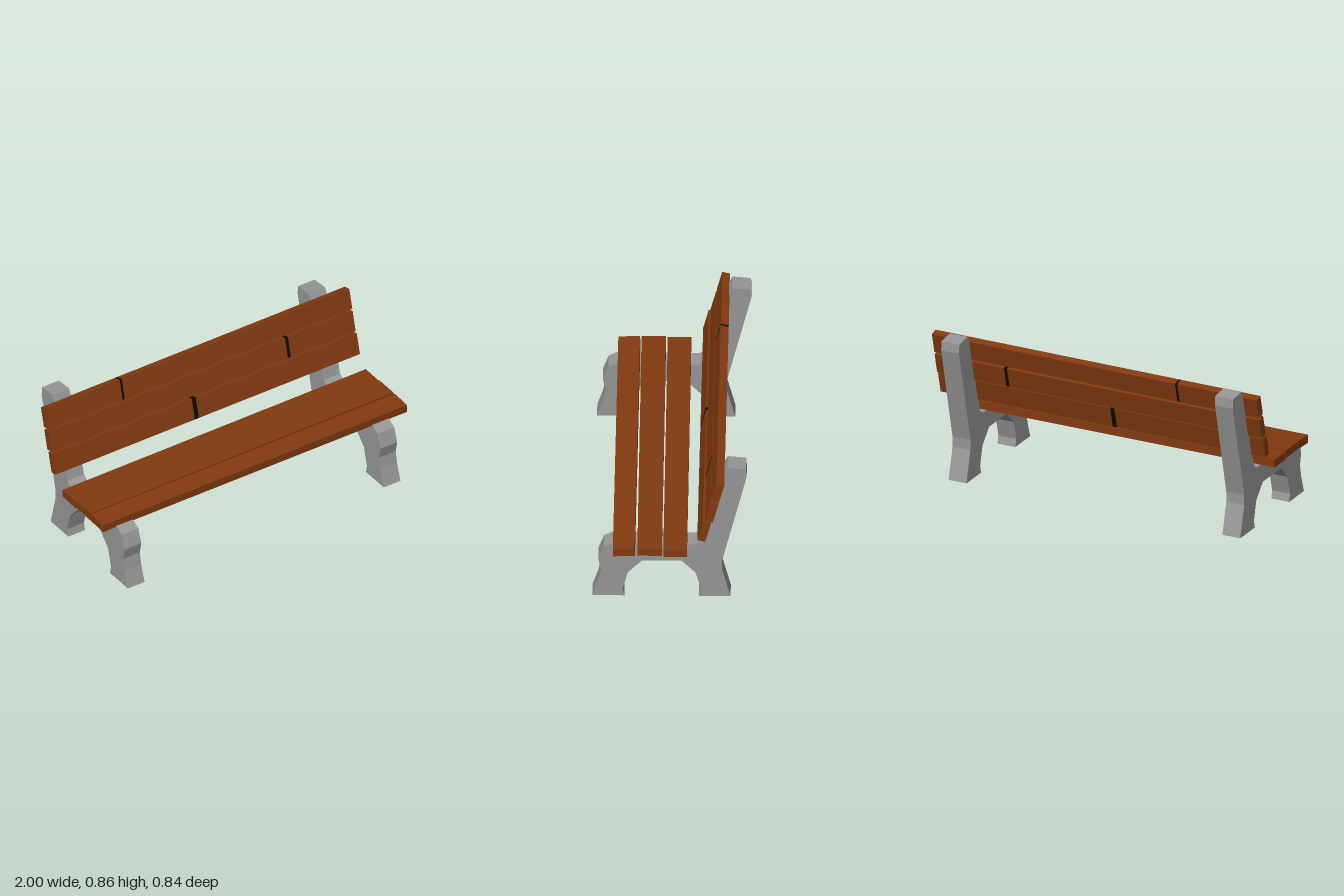
import * as THREE from 'three';

export function createModel() {
  const bench = new THREE.Group();
  bench.name = 'bench';
  const wood = new THREE.MeshStandardMaterial({ name: 'brown wood', color: 0x823a10 });
  const concrete = new THREE.MeshStandardMaterial({ name: 'grey concrete', color: 0x969696 });
  const dark = new THREE.MeshStandardMaterial({ name: 'dark seam', color: 0x0c0a08 });

  // Side frames: one outline (z, y) covering both legs, seat rail and back post
  const outline = [
    [0.422, 0], [0.39, 0.095], [0.375, 0.172], [0.39, 0.242], [0.36, 0.325], [0.308, 0.352],
    [0.19, 0.35], [-0.135, 0.346], [-0.17, 0.37], [-0.3, 0.83], [-0.317, 0.863], [-0.418, 0.853],
    [-0.421, 0.8], [-0.287, 0.24], [-0.287, 0.18], [-0.333, 0], [-0.16, 0], [-0.171, 0.045],
    [-0.143, 0.155], [-0.065, 0.236], [0.15, 0.236], [0.228, 0.155], [0.257, 0.045], [0.247, 0],
  ].map(([z, y]) => new THREE.Vector2(z, y));
  const thickness = 0.11;
  const frameGeometry = new THREE.ExtrudeGeometry(new THREE.Shape(outline), { depth: thickness, bevelEnabled: false });
  frameGeometry.translate(0, 0, -thickness / 2);
  frameGeometry.rotateY(-Math.PI / 2);
  [['rightFrame', -0.86], ['leftFrame', 0.825]].forEach(([name, x]) => {
    const frame = new THREE.Mesh(frameGeometry, concrete);
    frame.name = name;
    frame.position.x = x;
    bench.add(frame);
  });

  // A length of slat from x0 to x1, skewed a little along its length
  function piece(name, material, x0, x1, s) {
    const g = new THREE.BoxGeometry(x1 - x0, s.h, s.d);
    g.rotateX(s.tilt);
    g.translate((x0 + x1) / 2, s.y, s.z);
    const p = g.attributes.position;
    for (let i = 0; i < p.count; i++) {
      const x = p.getX(i);
      p.setY(i, p.getY(i) + s.dy * x);
      p.setZ(i, p.getZ(i) + s.dz * x);
    }
    const mesh = new THREE.Mesh(g, material);
    mesh.name = name;
    return mesh;
  }

  // Seat slats, front to back
  [
    { z: 0.248, y: 0.372, h: 0.047, d: 0.119, tilt: 0.045, dy: 0.001, dz: 0 },
    { z: 0.111, y: 0.375, h: 0.046, d: 0.134, tilt: 0, dy: 0.001, dz: -0.0035 },
    { z: -0.029, y: 0.369, h: 0.046, d: 0.129, tilt: 0.008, dy: 0.001, dz: -0.003 },
  ].forEach((s, i) => bench.add(piece(`seatSlat${i + 1}`, wood, -1, 1, s)));

  // Back slats, top to bottom, each made of two boards with a dark seam between
  [
    { z: -0.265, y: 0.772, h: 0.12, seam: -0.504, w: 0.014 },
    { z: -0.232, y: 0.641, h: 0.121, seam: 0.564, w: 0.019 },
    { z: -0.191, y: 0.513, h: 0.124, seam: -0.073, w: 0.026 },
  ].forEach((b, i) => {
    const s = { ...b, d: 0.045, tilt: -0.25, dy: 0.003, dz: 0.001 };
    const slat = new THREE.Group();
    slat.name = `backSlat${i + 1}`;
    slat.add(
      piece('rightBoard', wood, -1, b.seam - b.w / 2, s),
      piece('seam', dark, b.seam - b.w / 2, b.seam + b.w / 2, s),
      piece('leftBoard', wood, b.seam + b.w / 2, 1, s),
    );
    bench.add(slat);
  });

  return bench;
}
